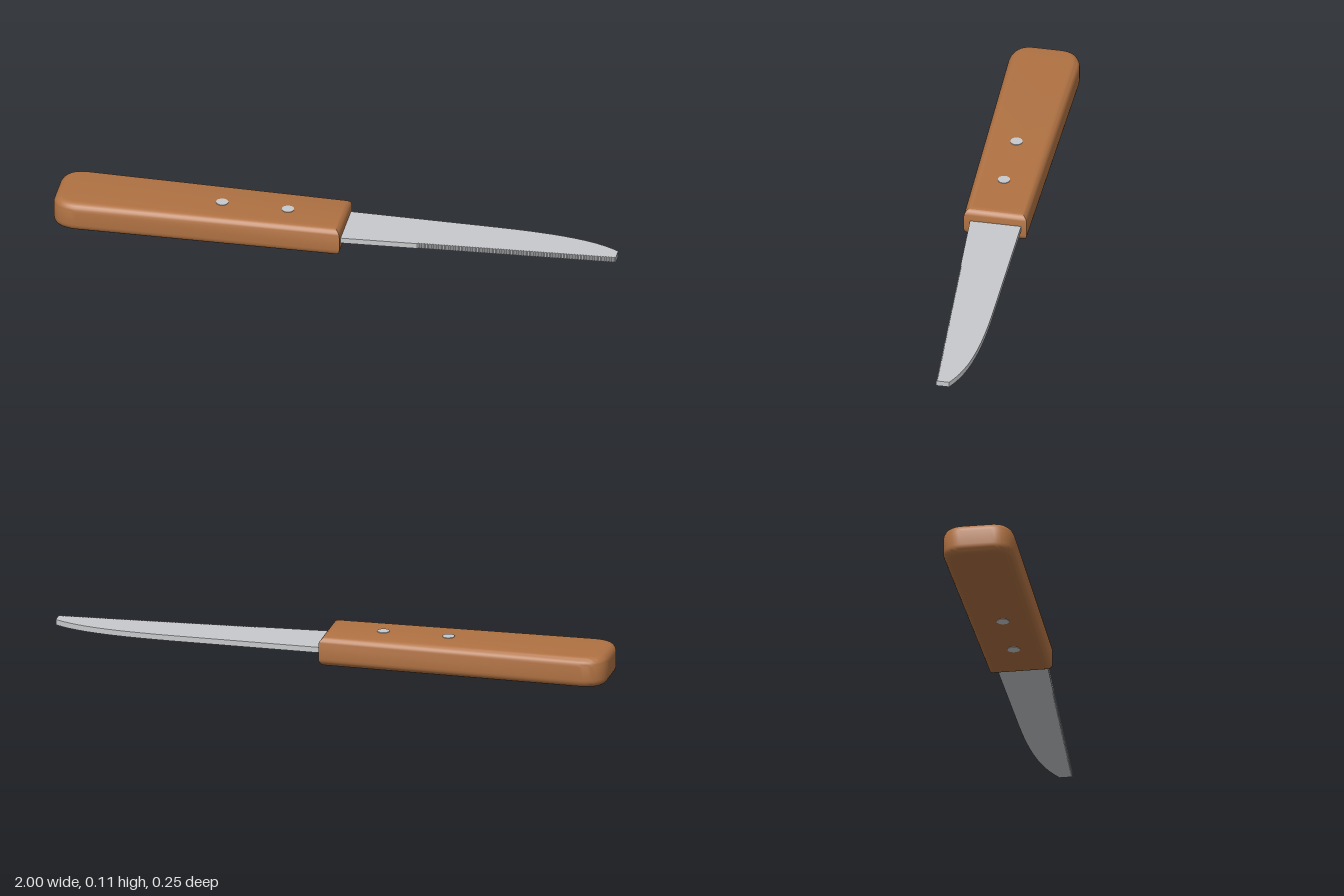
import * as THREE from 'three';
import { toCreasedNormals } from 'three/addons/utils/BufferGeometryUtils.js';

const wood = new THREE.MeshStandardMaterial({ color: 0xb07243 });
wood.name = 'wood';
const steel = new THREE.MeshStandardMaterial({ color: 0xc8c9cc });
steel.name = 'steel';

// Extrudes a plan outline (shape y = -z) upwards, from bottom to top.
function slab(name, shape, bottom, top, bevel, material) {
  const geometry = new THREE.ExtrudeGeometry(shape, {
    depth: top - bottom - 2 * bevel,
    bevelEnabled: bevel > 0,
    bevelThickness: bevel,
    bevelSize: bevel,
    bevelOffset: -bevel,
    bevelSegments: 6,
    curveSegments: 10,
  });
  geometry.rotateX(-Math.PI / 2);
  geometry.translate(0, bottom + bevel, 0);
  const mesh = new THREE.Mesh(toCreasedNormals(geometry, 0.6), material);
  mesh.name = name;
  return mesh;
}

// Tapered handle with a rounded butt and a square front end
function handleShape() {
  const s = new THREE.Shape();
  s.moveTo(0.03, -0.105);
  s.lineTo(0.03, 0.12);
  s.lineTo(-0.91, 0.128);
  s.bezierCurveTo(-0.965, 0.128, -1, 0.1, -1, 0.05);
  s.lineTo(-1, -0.05);
  s.bezierCurveTo(-1, -0.1, -0.965, -0.125, -0.91, -0.125);
  s.closePath();
  return s;
}

// Blade with a curved spine and a serrated cutting edge
function bladeShape() {
  const edge = (x) => -0.082 + ((x - 0.03) / 0.97) * 0.064;
  const start = 0.3, teeth = 70, pitch = (1 - start) / teeth;
  const s = new THREE.Shape();
  s.moveTo(-0.02, edge(-0.02));
  s.lineTo(start, edge(start));
  for (let i = 0; i < teeth; i++) {
    const x = start + i * pitch;
    s.lineTo(x + pitch / 2, edge(x + pitch / 2) + 0.005);
    s.lineTo(x + pitch, edge(x + pitch));
  }
  s.lineTo(1, 0.028);
  s.bezierCurveTo(0.92, 0.075, 0.8, 0.1, 0.55, 0.1);
  s.lineTo(-0.02, 0.1);
  s.closePath();
  return s;
}

export function createModel() {
  const knife = new THREE.Group();
  knife.name = 'knife';
  knife.add(slab('handle', handleShape(), 0.002, 0.112, 0.03, wood));
  knife.add(slab('blade', bladeShape(), 0.048, 0.068, 0, steel));

  // Rivets pass through the handle and stand slightly proud on both faces
  for (const x of [-0.41, -0.175]) {
    const rivet = new THREE.Mesh(new THREE.CylinderGeometry(0.022, 0.022, 0.114, 16), steel);
    rivet.name = 'rivet';
    rivet.position.set(x, 0.057, 0);
    knife.add(rivet);
  }
  return knife;
}
